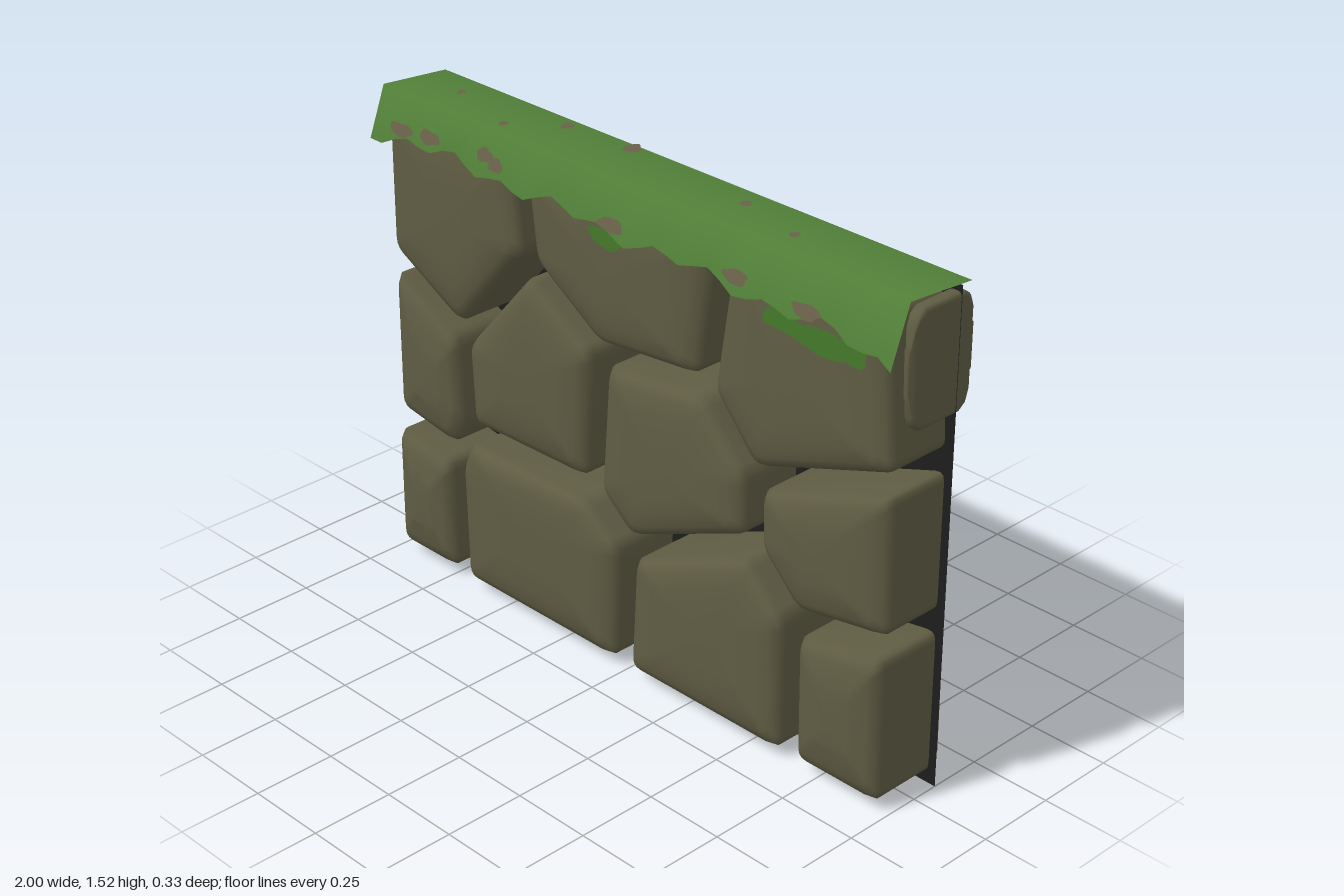
import * as THREE from 'three';

const V2 = THREE.Vector2;
const mat = (name, color, side = THREE.FrontSide) => {
  const m = new THREE.MeshStandardMaterial({ color, side });
  m.name = name;
  return m;
};

// Points where the mortar joints meet, row by row from the top
const joints = [
  [-1.005, 1.505], [-0.42, 1.505], [0.38, 1.505], [0.965, 1.505],
  [-1.005, 1], [-0.68, 0.83], [-0.38, 1.17], [-0.1, 0.99], [0.31, 1.03], [0.49, 0.83], [1.005, 1.01],
  [-1.005, 0.465], [-0.665, 0.53], [-0.13, 0.54], [0.02, 0.42], [0.49, 0.62], [0.65, 0.46], [1.005, 0.52],
  [-1.005, 0], [-0.7, 0], [0, 0], [0.65, 0], [1.005, 0], [-0.71, 0.42]
];
// Joints around each stone, counter-clockwise, for the top, middle and bottom rows
const rows = [
  { front: 0.146, back: -0.15, cells: [[0, 4, 5, 6, 1], [1, 6, 7, 8, 2], [2, 8, 9, 10, 3]] },
  { front: 0.146, back: -0.15, cells: [[4, 11, 23, 12, 5], [6, 5, 12, 13, 7], [7, 13, 14, 15, 9, 8], [9, 15, 16, 17, 10]] },
  { front: 0.16, back: -0.157, cells: [[11, 18, 19, 23], [12, 23, 19, 20, 14, 13], [14, 20, 21, 16, 15], [16, 21, 22, 17]] }
];

// Pull every side of a polygon inwards by half the mortar width
function insetPolygon(pts, d) {
  const inward = (a, b) => new V2(a.y - b.y, b.x - a.x).normalize();
  return pts.map((p, i) => {
    const n1 = inward(pts[(i + pts.length - 1) % pts.length], p);
    const n2 = inward(p, pts[(i + 1) % pts.length]);
    return p.clone().addScaledVector(n1.clone().add(n2), d / (1 + n1.dot(n2)));
  });
}

// Replace every corner of a polygon with a short curve
function roundCorners(pts, r) {
  return pts.flatMap((p, i) => {
    const toward = (q) => p.clone().lerp(q, Math.min(0.4, r / p.distanceTo(q)));
    const a = toward(pts[(i + pts.length - 1) % pts.length]);
    return new THREE.QuadraticBezierCurve(a, p, toward(pts[(i + 1) % pts.length])).getPoints(3);
  });
}

// Pillow-shaped stone: rings of one outline, shrinking along a rounded edge at both ends
function stoneGeometry(outline, front, back, tilt) {
  const n = outline.length;
  const mid = outline.reduce((s, p) => s.add(p), new V2()).divideScalar(n);
  const size = Math.max(0.3, Math.sqrt(THREE.ShapeUtils.area(outline)));
  const edge = [[0.3, 0], [0.09, 0.004], [0.04, 0.012], [0.013, 0.026], [0, 0.048]];
  const rings = [
    ...edge.map(([inset, z]) => [inset, back + z]),
    ...edge.map(([inset, z]) => [inset, front - z]).reverse()
  ];
  const pos = [], index = [];
  rings.forEach(([inset, z]) => {
    const s = 1 - Math.min(0.6, (inset * 2) / size);
    outline.forEach((p) => {
      const dx = (p.x - mid.x) * s, dy = (p.y - mid.y) * s;
      pos.push(mid.x + dx, mid.y + dy, z + tilt * dy);
    });
  });
  const last = (rings.length - 1) * n, backMid = rings.length * n, frontMid = backMid + 1;
  pos.push(mid.x, mid.y, back, mid.x, mid.y, front);
  for (let i = 0; i < n; i++) {
    const j = (i + 1) % n;
    for (let r = 0; r < last; r += n) index.push(r + i, r + j, r + j + n, r + i, r + j + n, r + i + n);
    index.push(backMid, j, i, frontMid, last + i, last + j);
  }
  const g = new THREE.BufferGeometry();
  g.setAttribute('position', new THREE.Float32BufferAttribute(pos, 3));
  g.setIndex(index);
  g.computeVertexNormals();
  return g;
}

// Slightly uneven flat blob, used for moss and bare spots
function blobGeometry(w, h, seed) {
  const pts = [];
  for (let i = 0; i < 18; i++) {
    const a = (i / 9) * Math.PI;
    const r = 0.48 + 0.05 * Math.sin(a * 3 + seed) + 0.04 * Math.cos(a * 5 + seed * 2);
    pts.push(new V2(Math.cos(a) * r * w, Math.sin(a) * r * h));
  }
  return new THREE.ShapeGeometry(new THREE.Shape(pts));
}

// Moss cap: one sheet bent over the front edge, with a ragged hem
const LEAN = 0.38;
const flapZ = (y) => 0.11 + (1.52 - y) * LEAN;
const topY = (z) => 1.511 + z * 0.074;
function capGeometry() {
  const g = new THREE.PlaneGeometry(2, 2, 40, 2);
  const p = g.attributes.position;
  for (let i = 0; i < p.count; i++) {
    const x = p.getX(i), row = p.getY(i);
    const wave = 0.014 * Math.sin(x * 31) + 0.01 * Math.sin(x * 13 + 1);
    const hem = 1.392 - 0.014 * x - wave - 0.025 * x ** 12;
    if (row > 0.5) p.setXYZ(i, x, topY(-0.12), -0.12);
    else if (row > -0.5) p.setXYZ(i, x, 1.52, 0.11);
    else p.setXYZ(i, x, hem, flapZ(hem));
  }
  g.computeVertexNormals();
  return g;
}

export function createModel() {
  const model = new THREE.Group();
  model.name = 'stoneWall';
  const stone = mat('stone', 0x5f5c43);
  const mortar = mat('mortar', 0x1e1d1e, THREE.DoubleSide);
  const moss = mat('moss', 0x507d37, THREE.DoubleSide);
  const stoneMoss = mat('stoneMoss', 0x447a2b, THREE.DoubleSide);
  const bare = mat('bareSpot', 0x69604a, THREE.DoubleSide);
  const group = (name) => {
    const g = new THREE.Group();
    g.name = name;
    model.add(g);
    return g;
  };
  const add = (name, geo, material, parent) => {
    const m = new THREE.Mesh(geo, material);
    m.name = name;
    parent.add(m);
    return m;
  };

  // Mortar sheet that the stones pass through
  add('mortarSheet', new THREE.PlaneGeometry(2, 1.5), mortar, model).position.set(0, 0.75, -0.085);

  // Stones reaching from the front to the back of the wall
  const stones = group('stones');
  rows.forEach(({ front, back, cells }) => cells.forEach((cell, i) => {
    const corners = insetPolygon(cell.map((k) => new V2(...joints[k])), 0.031);
    const bulge = 0.004 * Math.sin(i * 1.7);
    add('stone', stoneGeometry(roundCorners(corners, 0.032), front + bulge, back, 0.01 * Math.sin(i * 2.6)), stone, stones);
  }));

  // Narrow stone at the upper left end
  const sliver = [[0.965, 1.13], [0.998, 1.14], [0.998, 1.48], [0.955, 1.48]].map((c) => new V2(...c));
  add('endStone', stoneGeometry(roundCorners(sliver, 0.015), 0.09, -0.15, 0), stone, stones);

  // Moss cap with bare spots on its flap and top
  const cap = group('mossCap');
  add('mossSheet', capGeometry(), moss, cap);
  [[-0.88, 1.425, 0.1], [-0.76, 1.435, 0.09], [-0.53, 1.45, 0.07], [-0.48, 1.435, 0.06], [-0.01, 1.41, 0.1], [0.45, 1.415, 0.09], [0.7, 1.405, 0.1]]
    .forEach(([x, y, w], i) => {
      const s = add('bareSpot', blobGeometry(w, 0.042, i), bare, cap);
      s.position.set(x, y, flapZ(y) + 0.004);
      s.rotation.x = -Math.atan(LEAN);
    });
  [[-0.81, -0.02, 0.03], [-0.42, -0.07, 0.04], [-0.18, -0.09, 0.055], [0.3, -0.04, 0.035], [0.53, 0.02, 0.03], [-0.54, 0.06, 0.03]]
    .forEach(([x, z, w], i) => {
      const s = add('bareSpot', blobGeometry(w, w, i), bare, cap);
      s.position.set(x, topY(z) + 0.004, z);
      s.rotation.x = -Math.PI / 2 + 0.074;
    });

  // Moss patches on the stones: x, y, width, height, face (1 front, -1 back)
  const patches = group('mossPatches');
  [
    [0.62, 1.35, 0.15, 0.07, 1], [0.75, 1.335, 0.2, 0.08, 1], [0.86, 1.35, 0.1, 0.09, 1], [-0.03, 1.365, 0.14, 0.06, 1],
    [0.84, 1.36, 0.14, 0.08, -1], [0.58, 1.35, 0.07, 0.05, -1], [0.23, 1.38, 0.16, 0.13, -1], [-0.25, 1.39, 0.09, 0.08, -1]
  ].forEach(([x, y, w, h, face], i) => {
    const p = add('mossPatch', blobGeometry(w, h, i + 3), stoneMoss, patches);
    p.position.set(x, y, face > 0 ? 0.154 : -0.153);
    if (face < 0) p.rotation.y = Math.PI;
  });

  return model;
}
